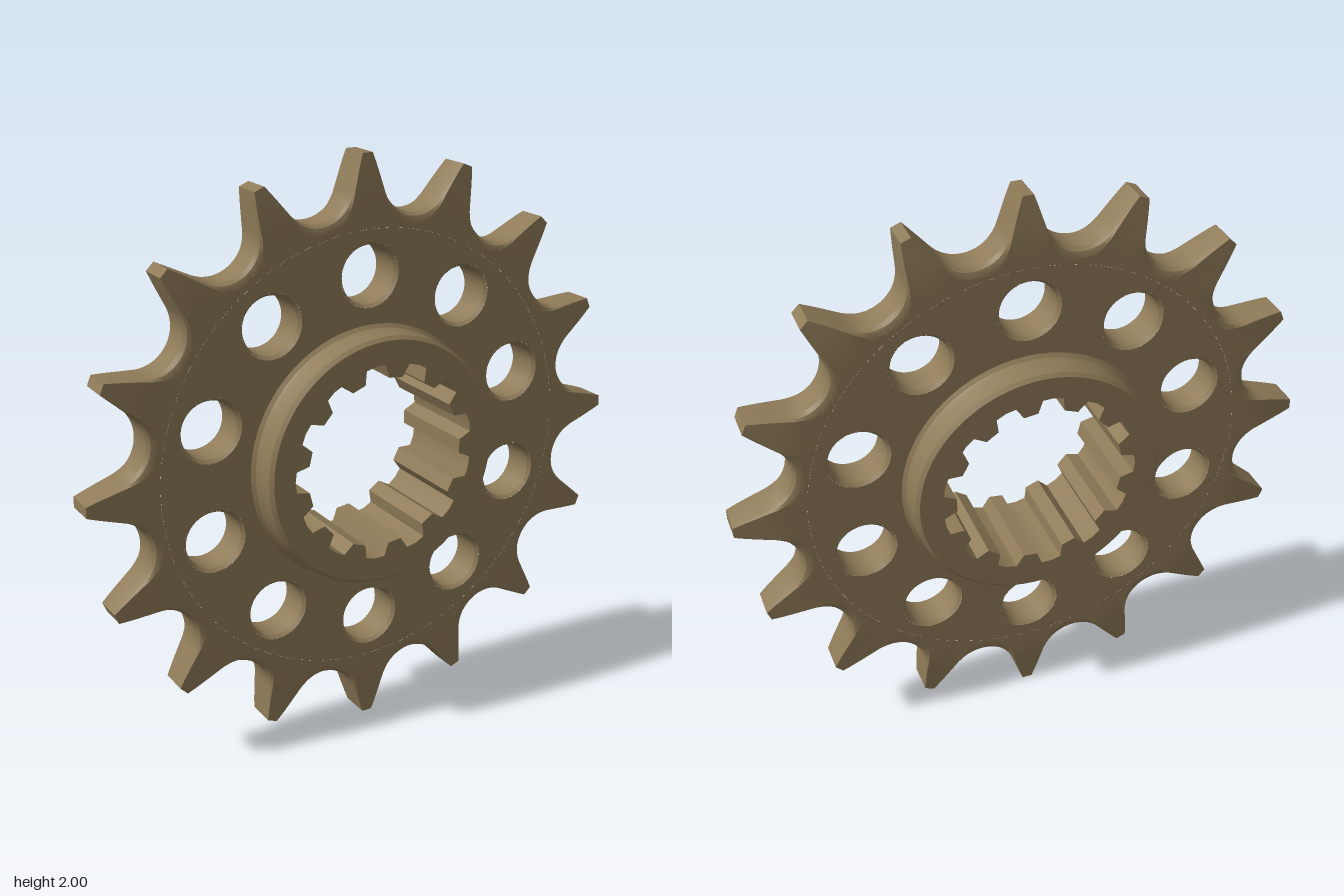
import * as THREE from 'three';
import { toCreasedNormals } from 'three/addons/utils/BufferGeometryUtils.js';

const TEETH = 16, HOLES = 10, SPLINES = 13;
const HALF = 0.066;      // half thickness of the plate
const HUB_HALF = 0.172;  // half length of the hub
const RIM_IN = 0.76;     // where the flat web meets the toothed rim

const polar = (r, a) => new THREE.Vector2(r * Math.sin(a), r * Math.cos(a));

// Tooth outline as [angle, radius], clockwise around the whole wheel
function toothOutline() {
  const pitch = Math.PI * 2 / TEETH, R = 0.13;
  const centre = polar(0.81 + R, pitch / 2);
  const tip = new THREE.Vector2(0.018, 1);
  const d = centre.clone().sub(tip);
  const dir = d.angle() - Math.asin(R / d.length());
  const len = Math.sqrt(d.lengthSq() - R * R);
  const half = [];
  for (let i = 0; i < 4; i++) {
    const s = len * i / 4;
    half.push(new THREE.Vector2(tip.x + s * Math.cos(dir), tip.y + s * Math.sin(dir)));
  }
  const a0 = dir - Math.PI / 2, a1 = centre.angle() + Math.PI;
  const start = THREE.MathUtils.euclideanModulo(a0, Math.PI * 2);
  for (let i = 0; i <= 12; i++) {
    const a = start + (a1 - start) * i / 12;
    half.push(new THREE.Vector2(centre.x + R * Math.cos(a), centre.y + R * Math.sin(a)));
  }
  const side = half.map(p => [Math.atan2(p.x, p.y), p.length()]);
  const tooth = [...side.slice(0, -1).reverse().map(([a, r]) => [-a, r]), ...side];
  const all = [];
  for (let i = 0; i < TEETH; i++) for (const [a, r] of tooth) all.push([a + i * pitch, r]);
  return all;
}

// Toothed rim: cross-sections from front face, round the edge, to the back face
function rimGeometry() {
  const outline = toothOutline(), n = outline.length;
  const height = r => HALF - 0.1 * Math.max(0, r - 0.86);
  const section = r => {
    const w = 1 - THREE.MathUtils.smoothstep(r, 0.82, 0.99);
    const front = [0, 0.25, 0.5, 0.75, 1].map(t => {
      const q = THREE.MathUtils.lerp(RIM_IN, r - 0.028 * w - 0.0005, t);
      return [q, height(q)];
    });
    front.push([r - 0.01 * w, height(r) - 0.006 * w], [r, height(r) - 0.02 * w]);
    return [...front, ...front.slice().reverse().map(([q, z]) => [q, -z])];
  };
  const pos = [], index = [];
  let rows = 0;
  for (const [a, r] of outline) {
    const s = section(r);
    rows = s.length;
    for (const [q, z] of s) pos.push(q * Math.sin(a), q * Math.cos(a), z);
  }
  for (let j = 0; j < n; j++) {
    const j2 = (j + 1) % n;
    for (let k = 0; k < rows - 1; k++) {
      const A = j * rows + k, B = A + 1, D = j2 * rows + k, C = D + 1;
      index.push(A, C, B, A, D, C);
    }
  }
  const g = new THREE.BufferGeometry();
  g.setAttribute('position', new THREE.Float32BufferAttribute(pos, 3));
  g.setIndex(index);
  return toCreasedNormals(g, 0.5);
}

// Profile of [radius, z] turned around the z axis
function turned(profile, segments) {
  const g = new THREE.LatheGeometry(profile.map(p => new THREE.Vector2(...p)), segments);
  g.rotateX(Math.PI / 2);
  return toCreasedNormals(g, 0.4);
}

export function createModel() {
  const model = new THREE.Group();
  const wheel = new THREE.Group();
  wheel.name = 'sprocket';
  wheel.position.y = 1;
  model.add(wheel);
  const metal = new THREE.MeshStandardMaterial({ color: 0x8f7b58 });
  const add = (name, geometry, parent = wheel) => {
    const mesh = new THREE.Mesh(geometry, metal);
    mesh.name = name;
    parent.add(mesh);
    return mesh;
  };

  add('toothedRim', rimGeometry());

  // Flat web faces with round holes
  const web = new THREE.Shape().absarc(0, 0, RIM_IN, 0, Math.PI * 2);
  web.holes.push(new THREE.Path().absarc(0, 0, 0.42, 0, Math.PI * 2, true));
  const centres = [];
  for (let i = 0; i < HOLES; i++) {
    const c = polar(0.61, i * Math.PI * 2 / HOLES);
    centres.push(c);
    web.holes.push(new THREE.Path().absarc(c.x, c.y, 0.108, 0, Math.PI * 2, true));
  }
  const face = new THREE.ShapeGeometry(web, 48);
  add('webFront', face).position.z = HALF;
  const back = add('webBack', face);
  back.position.z = -HALF;
  back.rotation.y = Math.PI;

  // Chamfered hole walls
  const wall = turned([[0.108, HALF], [0.098, HALF - 0.012], [0.098, 0.012 - HALF], [0.108, -HALF]], 48);
  for (const c of centres) add('holeWall', wall).position.set(c.x, c.y, 0);

  // Hub core with splined bore, one groove centred on -x
  const core = new THREE.Shape().absarc(0, 0, 0.418, 0, Math.PI * 2);
  const bore = [];
  const deg = Math.PI / 180;
  for (let i = 0; i < SPLINES; i++) {
    const a = -Math.PI / 2 + i * Math.PI * 2 / SPLINES;
    for (const [r, o] of [[0.293, -9], [0.338, -6], [0.341, 0], [0.338, 6], [0.293, 9]]) {
      bore.push(polar(r, a + o * deg));
    }
  }
  core.holes.push(new THREE.Path(bore));
  const coreGeo = new THREE.ExtrudeGeometry(core, { depth: HUB_HALF * 2, bevelEnabled: false, curveSegments: 48 });
  coreGeo.translate(0, 0, -HUB_HALF);
  add('splinedHub', toCreasedNormals(coreGeo, 0.3));

  // Hub outside: chamfered ends and a small fillet onto the web
  const end = [[0.418, -HUB_HALF], [0.43, -0.16], [0.43, -0.088], [0.434, -0.076], [0.446, -HALF]];
  const sleeve = [...end, ...end.slice().reverse().map(([r, z]) => [r, -z])];
  add('hubSleeve', turned(sleeve, 96));

  return model;
}
